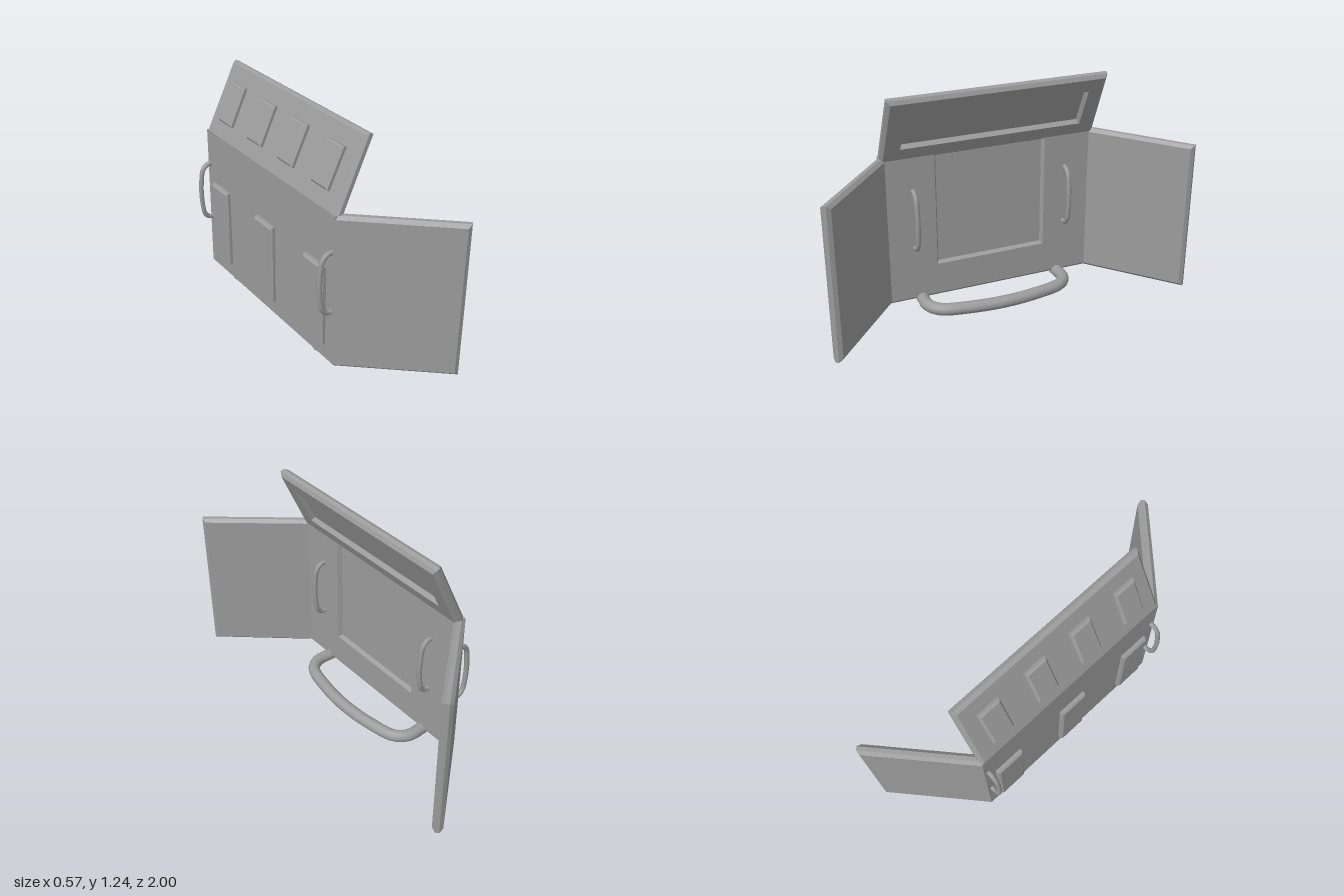
import * as THREE from 'three';

const T = 0.055;       // panel thickness
const B = 0.017;       // edge bevel
// edge profile of every panel: [depth, bevel inset]
const EDGE = [[0, B], [B, 0], [T - B, 0], [T, B]];

const material = new THREE.MeshStandardMaterial({ color: 0x9b9b9b });
const mesh = (name, geometry) => {
  const m = new THREE.Mesh(geometry, material);
  m.name = name;
  return m;
};

// Four-cornered loop: half widths at bottom and top, bottom and top v, depth w, centre u
const loop = (h0, h1, v0, v1, w, u = 0) =>
  [[u - h0, v0, w], [u + h0, v0, w], [u + h1, v1, w], [u - h1, v1, w]];

// Joins successive loops with flat faces and closes both ends
function loft(loops) {
  const pos = [];
  const quad = (a, b, c, d) => pos.push(...a, ...b, ...c, ...a, ...c, ...d);
  const first = loops[0], last = loops[loops.length - 1];
  quad(first[3], first[2], first[1], first[0]);
  for (let k = 0; k + 1 < loops.length; k++) {
    for (let i = 0; i < 4; i++) {
      const j = (i + 1) % 4;
      quad(loops[k][i], loops[k][j], loops[k + 1][j], loops[k + 1][i]);
    }
  }
  quad(...last);
  const g = new THREE.BufferGeometry();
  g.setAttribute('position', new THREE.Float32BufferAttribute(pos, 3));
  g.computeVertexNormals();
  return g;
}

// Rim and floor of a shallow recess in the inner face
const recess = (h, v0, v1, depth) => [
  loop(h, h, v0, v1, T),
  loop(h - 0.012, h - 0.012, v0 + 0.012, v1 - 0.012, T - depth),
];

// Bevelled plate standing on the outer face
const plate = (name, u, h, v0, v1) => mesh(name, loft([
  loop(h - 0.01, h - 0.01, v0 + 0.01, v1 - 0.01, -0.026, u),
  loop(h, h, v0, v1, -0.016, u),
  loop(h, h, v0, v1, 0.005, u),
]));

// Panel hinged along v = 0, mitred there and bevelled on its free edges
const leaf = (name, h0, h1, length, miter, inset = []) => mesh(name, loft([
  ...EDGE.map(([w, b]) => loop(h0 - b, h1 - b, w * miter, length - b, w)),
  ...inset,
]));

// Group whose local v runs along vDir and whose depth w runs along wDir
function frame(name, origin, vDir, wDir) {
  const g = new THREE.Group();
  g.name = name;
  const v = new THREE.Vector3(...vDir).normalize();
  const w = new THREE.Vector3(...wDir).normalize();
  const u = new THREE.Vector3().crossVectors(v, w);
  g.quaternion.setFromRotationMatrix(new THREE.Matrix4().makeBasis(u, v, w));
  g.position.set(...origin);
  return g;
}

// Bow handle: points are [outward, along], mirrored about the middle
function handle(name, half, radius, sides) {
  const g = new THREE.Group();
  g.name = name;
  const pts = [...half, ...half.slice(0, -1).reverse().map(([x, y]) => [x, -y])]
    .map(([x, y]) => new THREE.Vector3(x, y, 0));
  const curve = new THREE.CatmullRomCurve3(pts, false, 'centripetal');
  g.add(mesh('bow', new THREE.TubeGeometry(curve, 32, radius, sides)));
  for (const s of [-1, 1]) {
    const end = mesh('handleEnd', new THREE.CylinderGeometry(radius, radius, 0.01, sides));
    end.rotation.z = Math.PI / 2;
    end.position.set(half[0][0], s * half[0][1], 0);
    g.add(end);
  }
  return g;
}

export function createModel() {
  const model = new THREE.Group();
  model.name = 'foldingShield';
  const HALF = 0.607, BOTTOM = 0.03, TOP = 0.88;
  const wingMiter = 0.4, flapMiter = 0.22;

  // Main panel with window recess, mitred towards the wings and flap
  const main = frame('mainPanel', [-0.2, 0, 0], [0, 1, 0], [1, 0, 0]);
  main.add(mesh('mainBoard', loft([
    ...EDGE.map(([w, b]) => loop(HALF - w * wingMiter, HALF - w * wingMiter,
      BOTTOM + b, TOP - w * flapMiter, w)),
    ...recess(0.315, 0.226, 0.867, 0.022),
  ])));
  for (const u of [-0.455, 0, 0.455]) main.add(plate('armourPlate', u, 0.085, 0.13, 0.58));
  model.add(main);

  // Leaning upper flap with a long slot recess and four plates
  const flap = frame('upperFlap', [-0.2, TOP, 0], [0.42, 0.907, 0], [0.907, -0.42, 0]);
  flap.add(leaf('flapBoard', HALF, 0.597, 0.41, flapMiter, recess(0.505, 0.084, 0.313, 0.025)));
  for (const u of [-0.44, -0.145, 0.145, 0.44]) flap.add(plate('flapPlate', u, 0.066, 0.085, 0.305));
  model.add(flap);

  const grip = [[-0.015, 0.165], [0.025, 0.163], [0.052, 0.135], [0.063, 0.08], [0.068, 0]];
  for (const s of [-1, 1]) {
    // Side wings
    const wing = frame(s > 0 ? 'leftWing' : 'rightWing', [-0.2, (BOTTOM + TOP) / 2, s * HALF],
      [0.756, 0, s * 0.655], [0.655, 0, -s * 0.756]);
    const h = (TOP - BOTTOM) / 2;
    wing.add(leaf('wingBoard', h, h - 0.004, 0.615, wingMiter));
    model.add(wing);

    // Inner and outer grips
    const inner = handle('innerHandle', grip, 0.0135, 8);
    inner.position.set(-0.145, 0.515, s * 0.438);
    const outer = handle('outerHandle', grip, 0.0135, 8);
    outer.rotation.y = Math.PI;
    outer.position.set(-0.2, 0.515, s * 0.582);
    model.add(inner, outer);
  }

  // Large carrying bar under the main panel
  const bar = handle('carryBar',
    [[-0.165, 0.405], [-0.06, 0.405], [0.005, 0.358], [0.045, 0.21], [0.064, 0]], 0.034, 12);
  bar.rotation.x = Math.PI / 2;
  bar.position.y = 0.034;
  model.add(bar);

  return model;
}
